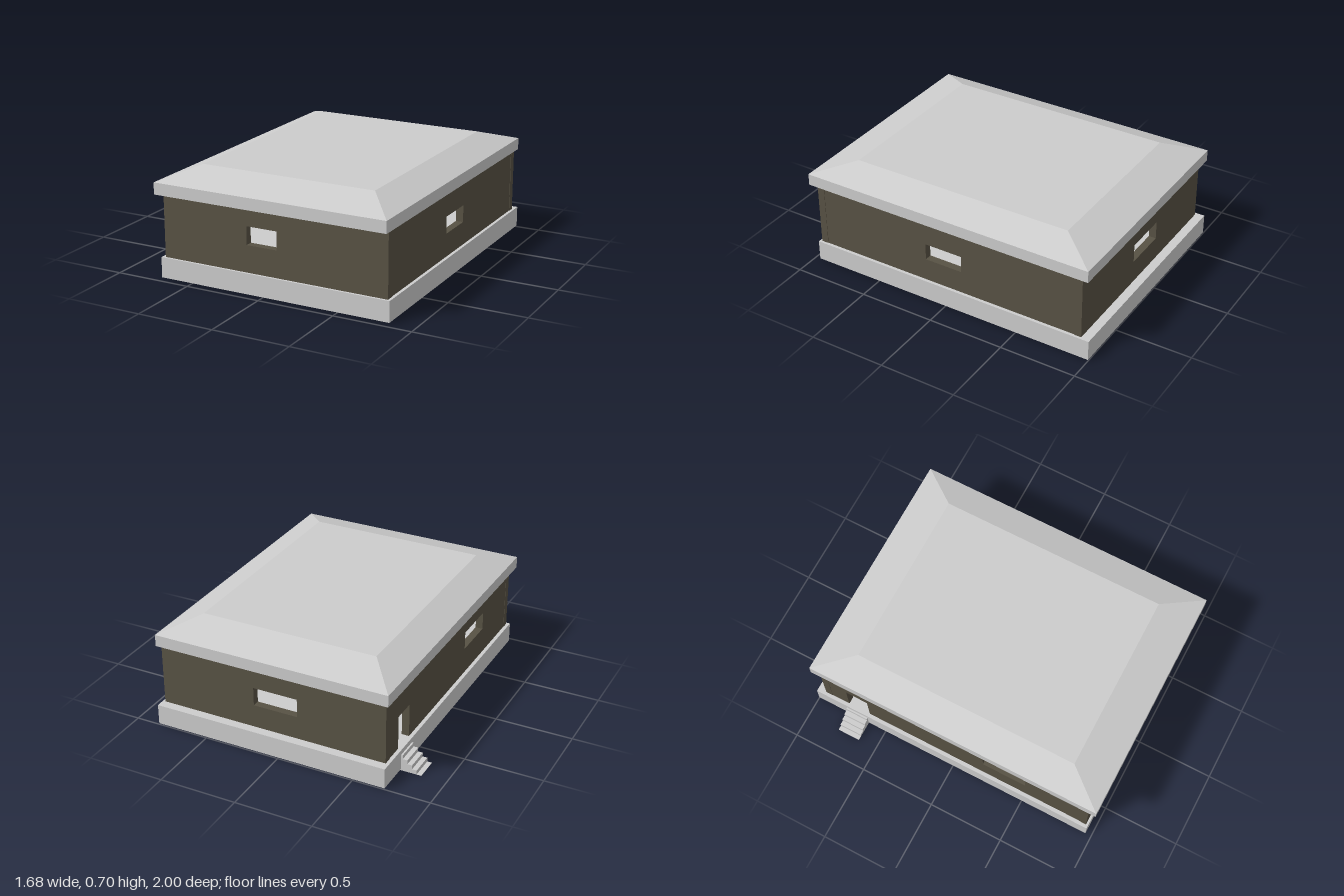
import * as THREE from 'three';

const concrete = new THREE.MeshStandardMaterial({ name: 'concreteGrey', color: 0xcccccc });
const wallPaint = new THREE.MeshStandardMaterial({ name: 'oliveBrown', color: 0x585244 });

const FLOOR = 0.14, EAVE = 0.55, THICK = 0.048;

function addMesh(group, name, geometry, material) {
  const mesh = new THREE.Mesh(geometry, material);
  mesh.name = name;
  group.add(mesh);
  return mesh;
}

// Box given by its limits on each axis
function boxBetween(x0, x1, y0, y1, z0, z1) {
  return new THREE.BoxGeometry(x1 - x0, y1 - y0, z1 - z0)
    .translate((x0 + x1) / 2, (y0 + y1) / 2, (z0 + z1) / 2);
}

// Wall panel along u, with a window [u0, u1, y0, y1] and an optional door [u0, u1, top]
function wallPanel(u0, u1, win, door) {
  const shape = new THREE.Shape();
  shape.moveTo(u0, FLOOR);
  if (door) {
    shape.lineTo(door[0], FLOOR);
    shape.lineTo(door[0], door[2]);
    shape.lineTo(door[1], door[2]);
    shape.lineTo(door[1], FLOOR);
  }
  shape.lineTo(u1, FLOOR);
  shape.lineTo(u1, EAVE);
  shape.lineTo(u0, EAVE);
  shape.closePath();
  const [a, b, c, d] = win;
  shape.holes.push(new THREE.Path([[a, c], [a, d], [b, d], [b, c]].map(p => new THREE.Vector2(...p))));
  return new THREE.ExtrudeGeometry(shape, { depth: THICK, bevelEnabled: false });
}

export function createModel() {
  const model = new THREE.Group();
  model.name = 'building';

  // Foundation slab
  addMesh(model, 'foundation', boxBetween(-0.709, 0.842, 0.008, FLOOR, -1, 0.96), concrete);

  // Front and back walls
  const zFront = 0.945, zBack = -0.942;
  addMesh(model, 'frontWall', wallPanel(-0.687, 0.825, [-0.105, 0.1, 0.313, 0.43]), wallPaint)
    .position.z = zFront - THICK;
  addMesh(model, 'backWall', wallPanel(-0.687, 0.825, [-0.107, 0.187, 0.29, 0.41]), wallPaint)
    .position.z = zBack;

  // Side walls fit between them; u runs along -z
  const u0 = -(zFront - THICK), u1 = -(zBack + THICK);
  const left = wallPanel(u0, u1, [-0.142, 0.113, 0.29, 0.4]).rotateY(Math.PI / 2);
  addMesh(model, 'leftWall', left, wallPaint).position.x = 0.822 - THICK;
  const right = wallPanel(u0, u1, [-0.508, -0.212, 0.315, 0.433], [0.618, 0.77, 0.36]).rotateY(Math.PI / 2);
  addMesh(model, 'rightWall', right, wallPaint).position.x = -0.685;

  // Roof: eave slab with a hipped, flat-topped cap
  const x0 = -0.717, x1 = 0.838, z0 = -0.982, z1 = 1;
  addMesh(model, 'eaveSlab', boxBetween(x0, x1, EAVE, 0.626, z0, z1), concrete);
  const cap = boxBetween(x0, x1, 0.626, 0.705, z0, z1);
  const pos = cap.attributes.position;
  for (let i = 0; i < pos.count; i++) {
    if (pos.getY(i) < 0.66) continue;
    pos.setX(i, pos.getX(i) < 0 ? -0.523 : 0.641);
    pos.setZ(i, pos.getZ(i) < 0 ? -0.736 : 0.752);
  }
  cap.computeVertexNormals();
  addMesh(model, 'roofCap', cap, concrete);

  // Entrance steps, starting from a thin ground plate
  const stairs = new THREE.Shape();
  stairs.moveTo(-0.69, 0);
  stairs.lineTo(-0.842, 0);
  for (let i = 0; i < 5; i++) {
    const y = 0.002 + i * 0.0265, x = -0.842 + i * 0.0305;
    stairs.lineTo(x, y);
    stairs.lineTo(x + 0.0305, y);
  }
  stairs.closePath();
  addMesh(model, 'entranceSteps',
    new THREE.ExtrudeGeometry(stairs, { depth: 0.152, bevelEnabled: false }).translate(0, 0, -0.778), concrete);

  return model;
}
